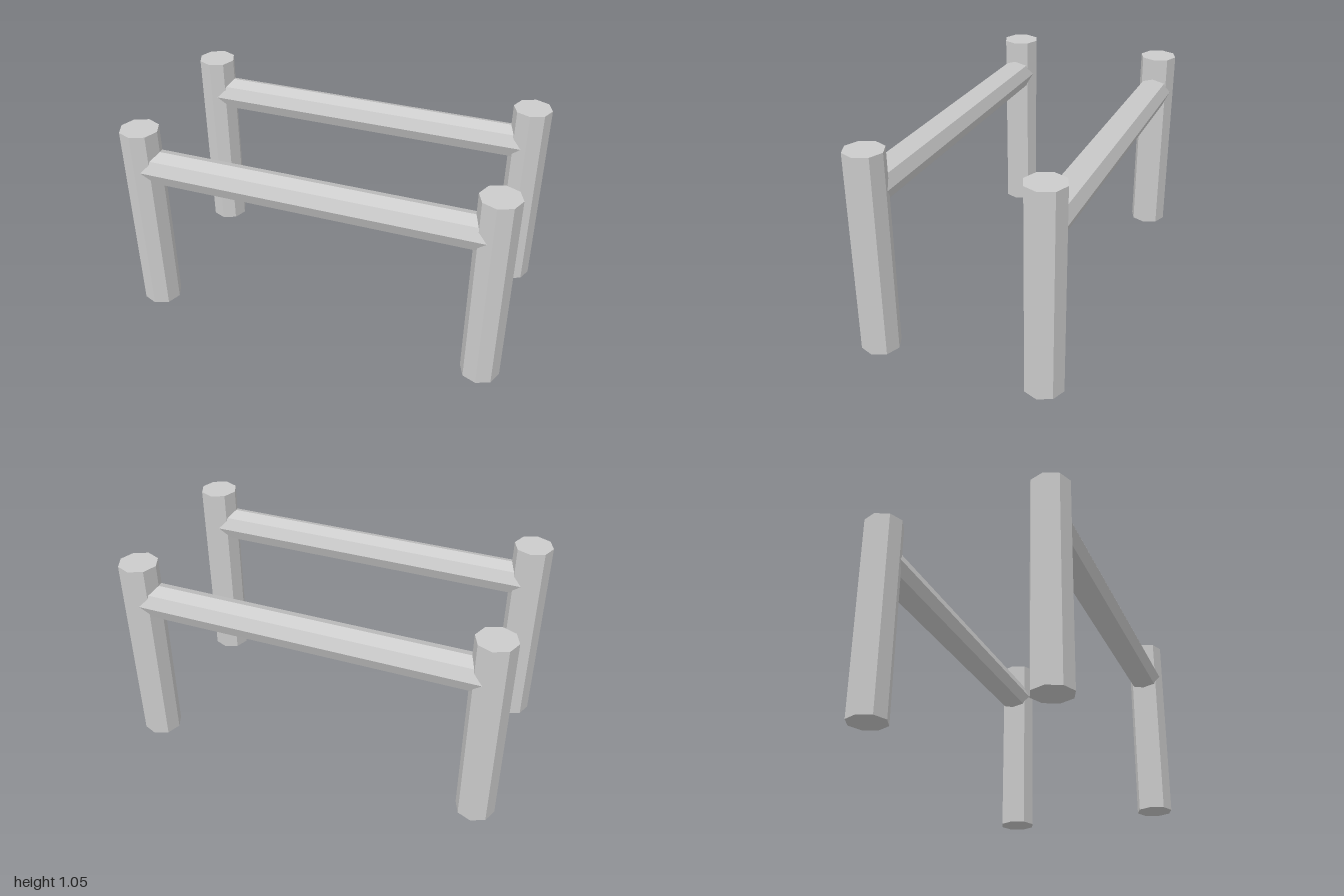
import * as THREE from 'three';

const POST = { radius: 0.1, height: 1.05, x: 0.9, z: 0.432 };
const RAIL = { radius: 0.089, y: 0.846 };
const SIDES = 8;

export function createModel() {
  const model = new THREE.Group();
  model.name = 'railFrame';
  const material = new THREE.MeshStandardMaterial({ color: 0xcccccc, flatShading: true });

  // Octagonal posts and rails share one geometry each
  const postGeometry = new THREE.CylinderGeometry(POST.radius, POST.radius, POST.height, SIDES);
  const railGeometry = new THREE.CylinderGeometry(RAIL.radius, RAIL.radius, 2 * POST.x, SIDES);
  railGeometry.rotateZ(Math.PI / 2);

  const add = (parent, name, geometry, x, y) => {
    const mesh = new THREE.Mesh(geometry, material);
    mesh.name = name;
    mesh.position.set(x, y, 0);
    parent.add(mesh);
  };

  // Front and back bars: two posts joined by a rail
  for (const [name, side] of [['frontBar', 1], ['backBar', -1]]) {
    const bar = new THREE.Group();
    bar.name = name;
    bar.position.z = side * POST.z;
    add(bar, 'leftPost', postGeometry, POST.x, POST.height / 2);
    add(bar, 'rightPost', postGeometry, -POST.x, POST.height / 2);
    add(bar, 'rail', railGeometry, 0, RAIL.y);
    model.add(bar);
  }
  return model;
}
